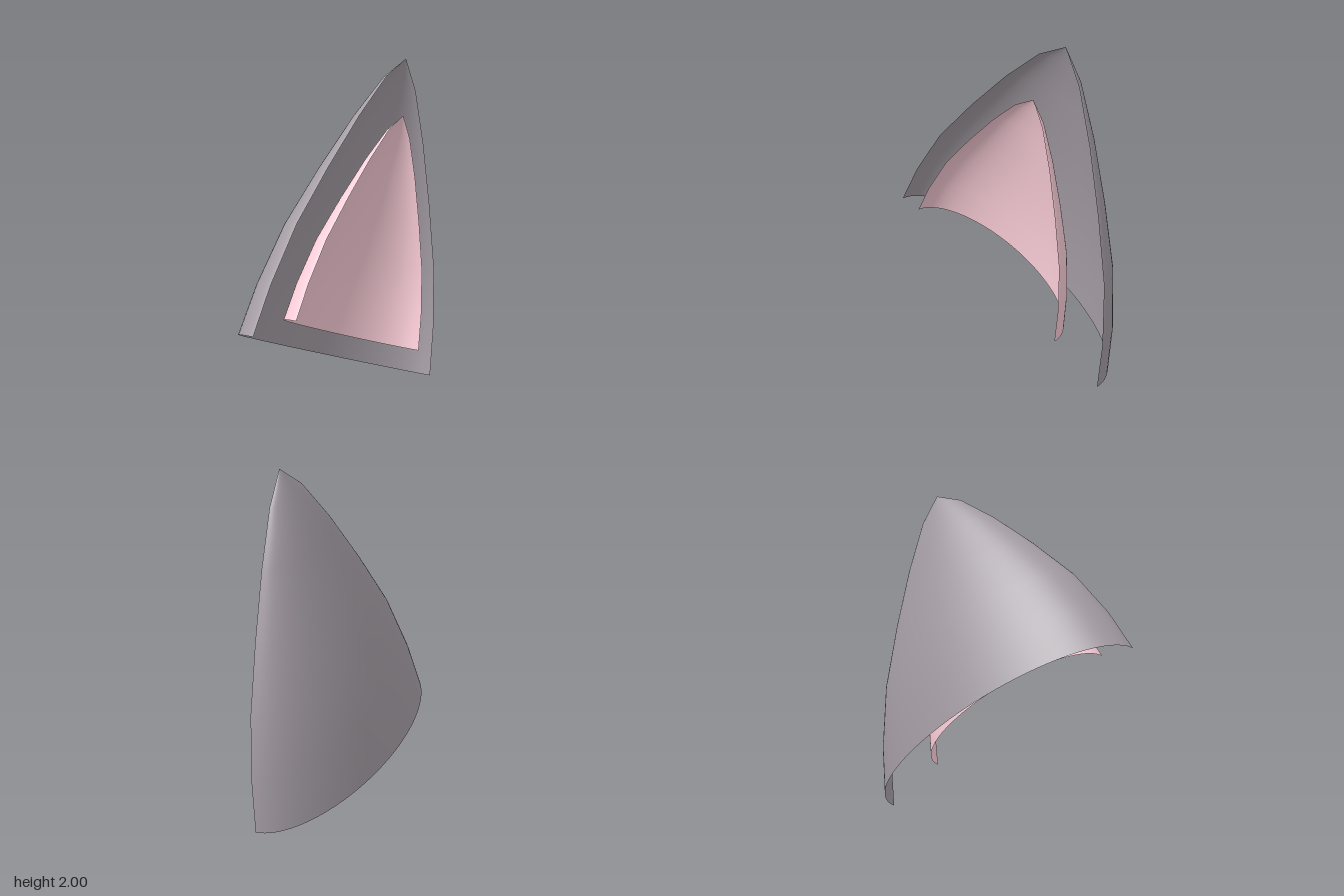
import * as THREE from 'three';

// Shared ear profile: radius and height, both as fractions of the base radius and full height
const PROFILE = [
  [1, 0], [0.931, 0.163], [0.798, 0.364], [0.596, 0.567],
  [0.382, 0.759], [0.178, 0.914], [0, 1],
].map(([r, h]) => new THREE.Vector2(r, h));

const TILT = -0.317;

// Half of a pointed cone, open at the front and at the base, flattened in depth
function earShell(name, color, radius, height, depth, position) {
  const geometry = new THREE.LatheGeometry(PROFILE, 48, Math.PI / 2, Math.PI);
  geometry.scale(radius, height, depth);
  const material = new THREE.MeshStandardMaterial({ color, side: THREE.DoubleSide });
  const mesh = new THREE.Mesh(geometry, material);
  mesh.name = name;
  mesh.position.set(...position);
  mesh.rotation.z = TILT;
  return mesh;
}

export function createModel() {
  const ear = new THREE.Group();
  ear.name = 'ear';
  ear.add(
    earShell('outerEar', 0xa59ea5, 0.9, 1.805, 0.412, [-0.015, 0.284, 0.162]),
    earShell('innerEar', 0xffd1dc, 0.626, 1.318, 0.31, [-0.015, 0.422, 0.25]),
  );
  return ear;
}
